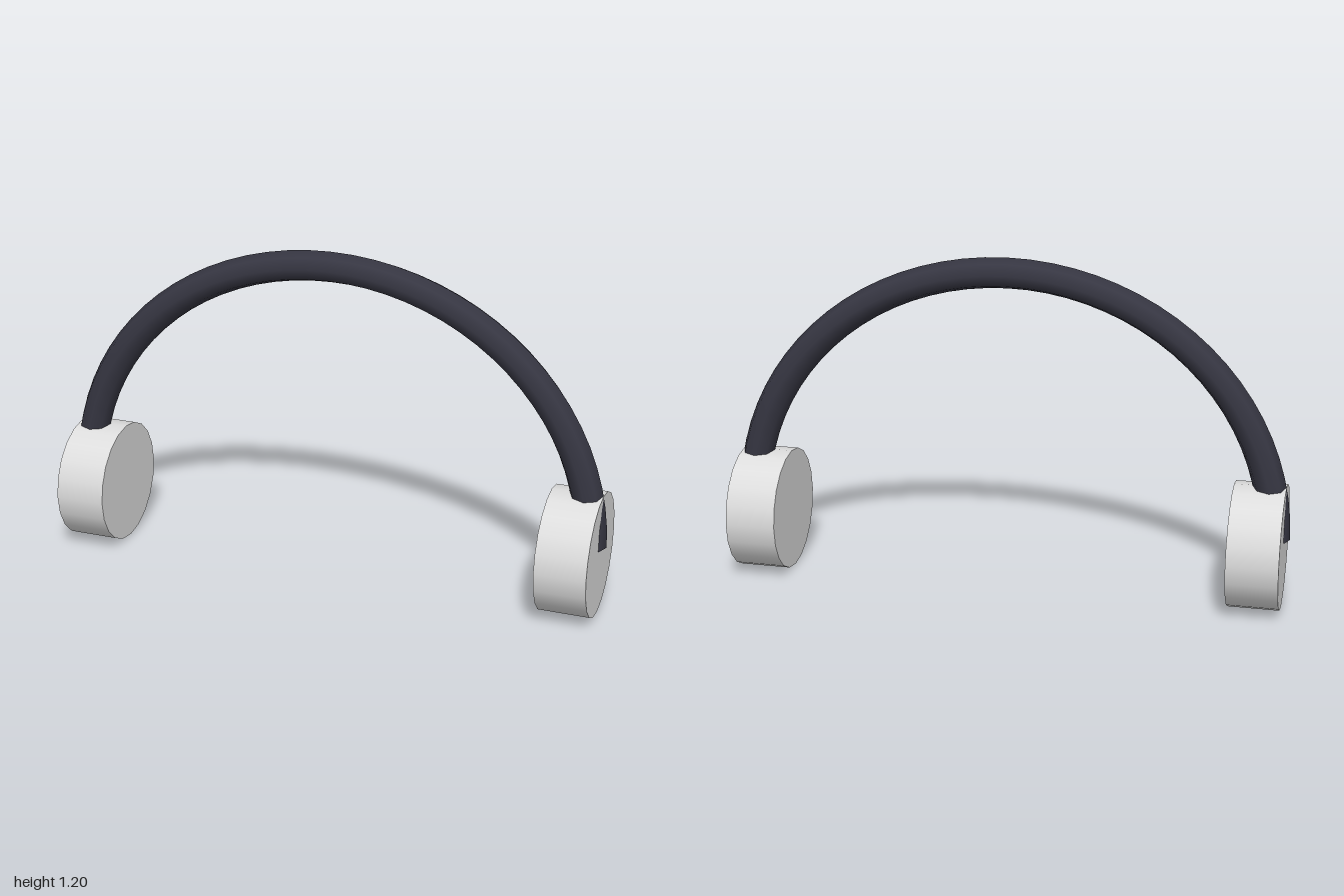
import * as THREE from 'three';

export function createModel() {
  const model = new THREE.Group();
  model.name = 'headphones';

  const bandMaterial = new THREE.MeshStandardMaterial({ color: 0x363642, side: THREE.DoubleSide });
  bandMaterial.name = 'dark slate';
  const cupMaterial = new THREE.MeshStandardMaterial({ color: 0xdddddd });
  cupMaterial.name = 'light grey';

  // Headband: half ring, slightly flattened, its ends sunk into the cups
  const band = new THREE.Mesh(new THREE.TorusGeometry(0.943, 0.057, 8, 40, Math.PI), bandMaterial);
  band.name = 'headband';
  band.scale.y = 0.945;
  band.position.y = 0.25;
  model.add(band);

  // Ear cups: short drums lying along x
  const cupGeometry = new THREE.CylinderGeometry(0.22, 0.22, 0.18, 20);
  cupGeometry.rotateZ(Math.PI / 2);
  for (const [name, side] of [['leftEarCup', 1], ['rightEarCup', -1]]) {
    const cup = new THREE.Mesh(cupGeometry, cupMaterial);
    cup.name = name;
    cup.position.set(side * 0.89, 0.22, 0);
    model.add(cup);
  }

  return model;
}
